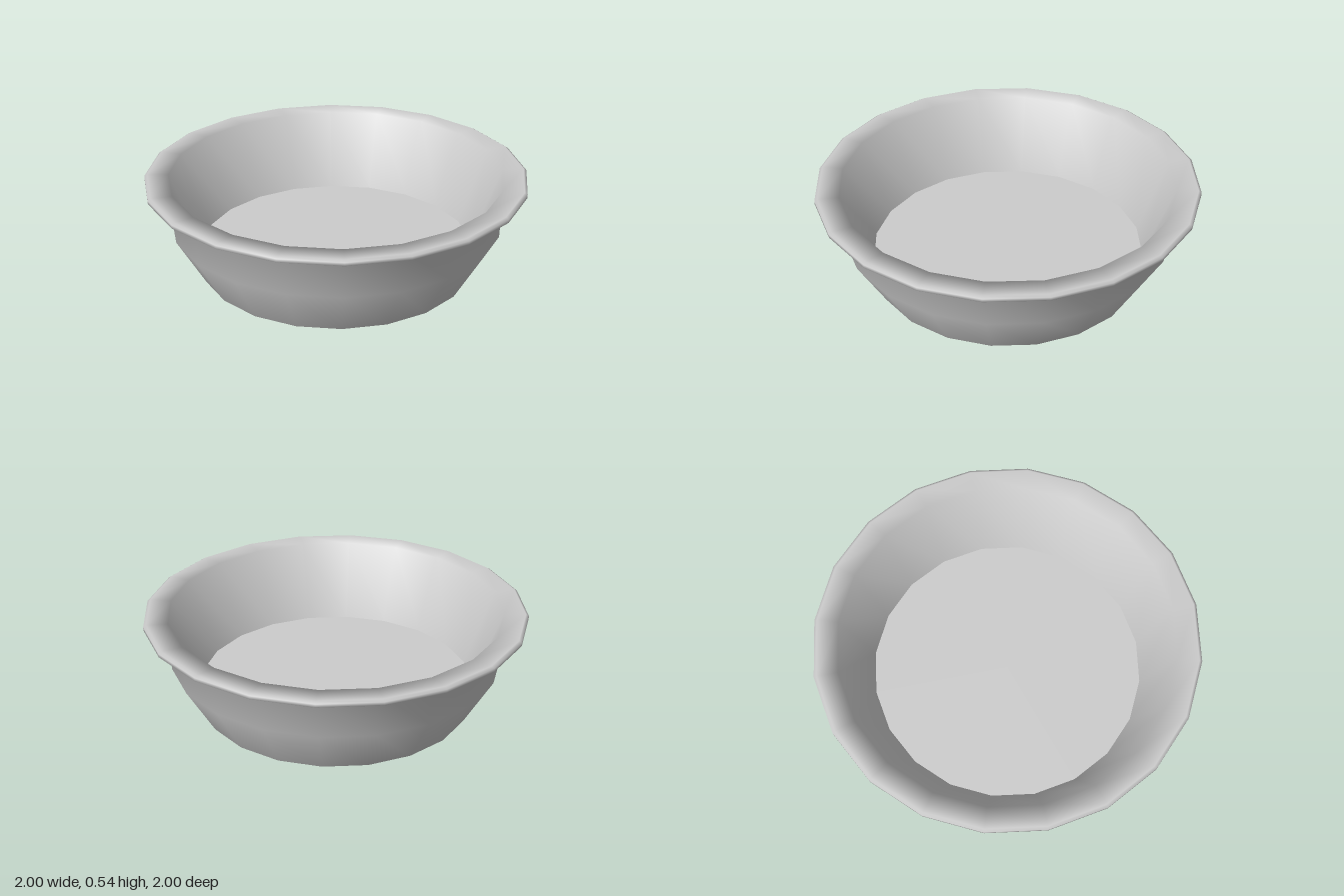
import * as THREE from 'three';

const SIDES = 20;

// Turns a short profile of [radius, height] points; each call is one smooth surface
function turned(name, profile, material) {
  const points = profile.map(([r, y]) => new THREE.Vector2(r, y));
  const mesh = new THREE.Mesh(new THREE.LatheGeometry(points, SIDES), material);
  mesh.name = name;
  return mesh;
}

export function createModel() {
  const group = new THREE.Group();
  group.name = 'bowl';
  const material = new THREE.MeshStandardMaterial({ color: 0xcccccc });

  const parts = {
    // Very slightly domed underside
    base: [[0, 0], [0.705, 0.002], [0.722, 0.012]],
    // Up the outside, around the soft rim and down the thick sloping inside
    shell: [
      [0.722, 0.012], [0.87, 0.27], [0.877, 0.5],
      [0.985, 0.5], [1, 0.508], [1, 0.526], [0.985, 0.535],
      [0.875, 0.53], [0.72, 0.125],
    ],
    // Raised floor, well above the underside
    innerFloor: [[0.72, 0.125], [0, 0.125]],
  };
  for (const [name, profile] of Object.entries(parts)) {
    group.add(turned(name, profile, material));
  }
  return group;
}
